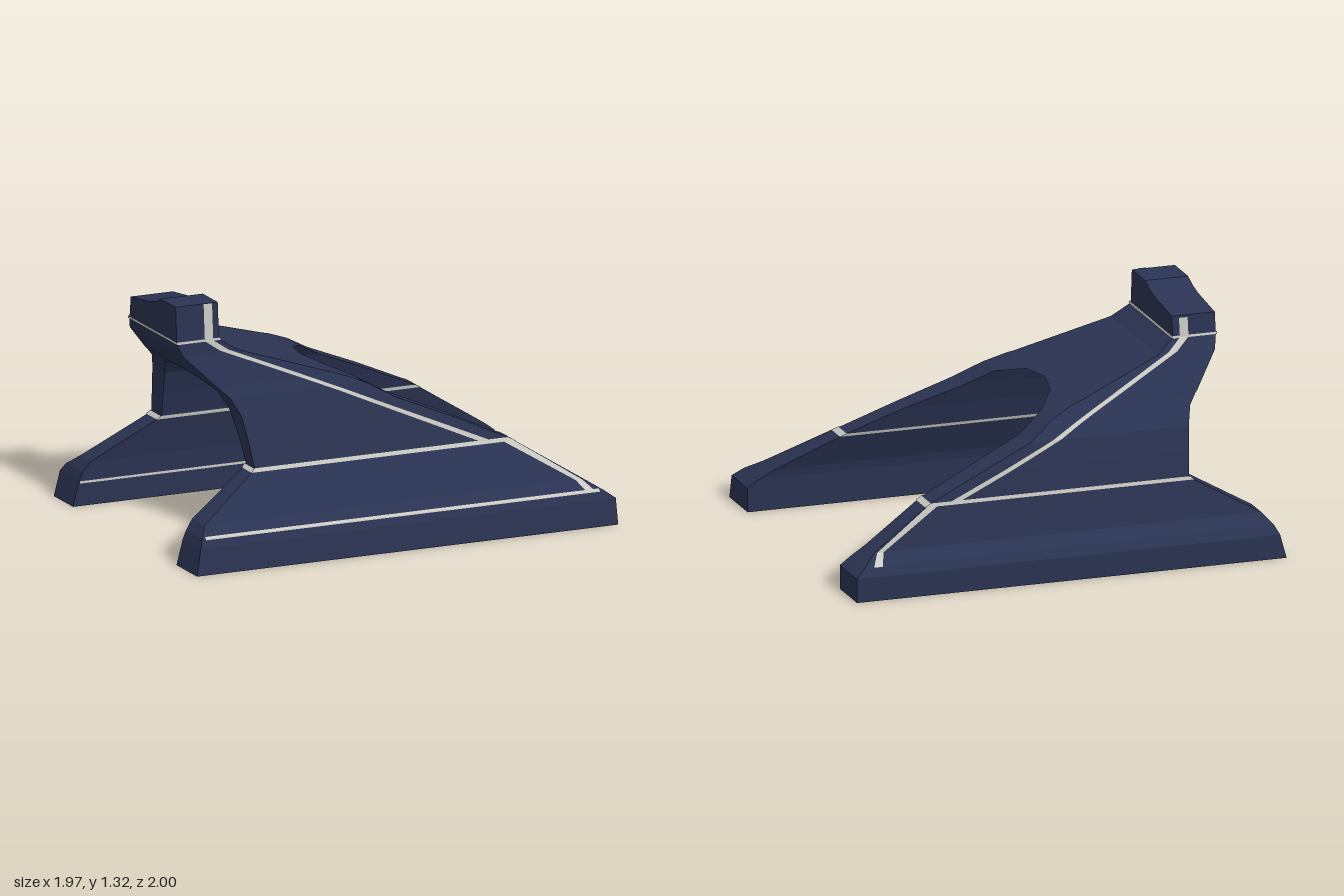
import * as THREE from 'three';

const SHEAR = 0.41; // the whole structure leans sideways as it runs front to back

const navy = new THREE.MeshStandardMaterial({ color: 0x2b3454, flatShading: true, side: THREE.DoubleSide });
const pale = new THREE.MeshStandardMaterial({ color: 0xcfcfc8, flatShading: true, side: THREE.DoubleSide });

// height, right-hand outer x, inner x, left-hand outer x, inner x, front z, back z
const PROFILE = [
  [0, -0.575, -0.42, 0.575, 0.41, 1, -1],
  [0.14, -0.575, -0.42, 0.555, 0.41, 0.97, -1],
  [0.185, -0.55, -0.418, 0.54, 0.41, 0.955, -0.95],
  [0.24, -0.50, -0.415, 0.50, 0.40, 0.92, -0.88],
  [0.46, -0.45, -0.37, 0.38, 0.31, 0.61, -0.6],
  [0.60, -0.43, -0.34, 0.345, 0.27, 0.62, -0.35],
  [0.73, -0.40, -0.30, 0.315, 0.22, 0.635, -0.1],
  [0.82, -0.345, -0.24, 0.285, 0.18, 0.67, 0.03],
  [0.87, -0.315, -0.13, 0.265, 0.09, 0.71, 0.13],
  [0.88, -0.31, -0.02, 0.26, -0.02, 0.72, 0.16],
  [1.05, -0.21, -0.02, 0.215, -0.02, 0.855, 0.59],
  [1.12, -0.17, -0.02, 0.21, -0.02, 0.88, 0.68],
  [1.32, -0.155, -0.02, 0.2, -0.02, 0.88, 0.68],
];

function rowAt(y) {
  let i = 1;
  while (i < PROFILE.length - 1 && PROFILE[i][0] < y) i++;
  const a = PROFILE[i - 1], b = PROFILE[i];
  const t = (y - a[0]) / (b[0] - a[0]);
  return a.map((v, k) => v + (b[k] - v) * t);
}

const place = (x, y, z) => [x - SHEAR * z, y, z];

// four corners at one height; side -1 / 1 is one leg, 0 the joined crown
function ring(side, y, padX = 0, padZ = padX, liftY = y) {
  const [, ro, ri, lo, li, zf, zb] = rowAt(y);
  const x0 = (side > 0 ? li : ro) - padX;
  const x1 = (side < 0 ? ri : lo) + padX;
  return [
    place(x1, liftY, zf + padZ), place(x1, liftY, zb - padZ),
    place(x0, liftY, zb - padZ), place(x0, liftY, zf + padZ),
  ];
}

function meshFrom(positions, material, name) {
  const geo = new THREE.BufferGeometry();
  geo.setAttribute('position', new THREE.Float32BufferAttribute(positions, 3));
  geo.computeVertexNormals();
  const mesh = new THREE.Mesh(geo, material);
  mesh.name = name;
  return mesh;
}

const quad = (out, a, b, c, d) => out.push(...a, ...b, ...c, ...a, ...c, ...d);

function loft(rings, material, name, capStart = false) {
  const out = [];
  for (let r = 0; r < rings.length - 1; r++) {
    for (let i = 0; i < 4; i++) {
      const j = (i + 1) % 4;
      quad(out, rings[r][i], rings[r][j], rings[r + 1][j], rings[r + 1][i]);
    }
  }
  if (capStart) quad(out, ...[...rings[0]].reverse());
  return meshFrom(out, material, name);
}

// strip lying on a leg face, through rows of [height, z of one edge, z of the other]
function ribbon(side, inner, rows, name) {
  const out = [];
  const column = (side < 0 ? 1 : 3) + (inner ? 1 : 0);
  const push = 0.005 * side * (inner ? -1 : 1);
  const edge = ([y, za, zb]) => [za, zb].map((z) => place(rowAt(y)[column] + push, y, z));
  const steps = 10;
  for (let i = 0; i < rows.length - 1; i++) {
    for (let s = 0; s < steps; s++) {
      const at = (t) => edge(rows[i].map((v, k) => v + (rows[i + 1][k] - v) * t));
      const [a, b] = at(s / steps), [d, c] = at((s + 1) / steps);
      quad(out, a, b, c, d);
    }
  }
  return meshFrom(out, pale, name);
}

export function createModel() {
  const model = new THREE.Group();
  model.name = 'archedSupport';
  const heights = PROFILE.map((r) => r[0]);

  for (const side of [-1, 1]) {
    const leg = new THREE.Group();
    leg.name = side < 0 ? 'rightLeg' : 'leftLeg';

    // leg wall, with a channel sunk into the underside of its foot
    const rings = [
      ring(side, 0, -0.04, -0.08, 0.12),
      ring(side, 0, -0.04, -0.08),
      ...heights.filter((y) => y <= 0.88).map((y) => ring(side, y)),
    ];
    leg.add(loft(rings, navy, 'legWall', true));

    // pale band around the leg above the foot
    leg.add(loft([ring(side, 0.447, 0.004), ring(side, 0.466, 0.004)], pale, 'legBand'));

    // pale trim following the sloping rear edge
    leg.add(ribbon(side, false, [
      [side < 0 ? 1.23 : 1.32, 0.75, 0.71], [1.12, 0.75, 0.71], [1.06, 0.68, 0.64],
      [0.8, 0.165, 0.13], [0.46, -0.46, -0.51],
    ], 'rearEdgeTrim'));
    leg.add(ribbon(side, false, [
      [0.46, -0.55, -0.6], [0.24, -0.84, -0.87], [0.185, -0.87, -0.91],
    ], 'footRearTrim'));
    model.add(leg);
  }

  // horizontal trim lines on the feet
  model.add(ribbon(1, false, [[0.18, 0.94, -0.93], [0.195, 0.94, -0.93]], 'outerFootTrim'));
  model.add(ribbon(-1, true, [[0.125, 0.97, -0.99], [0.138, 0.97, -0.99]], 'innerFootTrim'));

  // crown joining both legs above the arch
  model.add(loft([0.88, 1.05, 1.12].map((y) => ring(0, y)), navy, 'crown'));
  model.add(loft([ring(0, 1.117, 0.004), ring(0, 1.13, 0.004)], pale, 'crownBand'));

  // stepped head block
  const outline = [[-0.17, 1.12], [0.21, 1.12], [0.2, 1.32], [0.08, 1.32], [0.04, 1.29], [-0.01, 1.27], [-0.16, 1.24]];
  const headGeo = new THREE.ExtrudeGeometry(
    new THREE.Shape(outline.map(([x, y]) => new THREE.Vector2(x, y))),
    { depth: 0.2, bevelEnabled: false },
  );
  headGeo.translate(0, 0, 0.68);
  headGeo.applyMatrix4(new THREE.Matrix4().set(1, 0, -SHEAR, 0, 0, 1, 0, 0, 0, 0, 1, 0, 0, 0, 0, 1));
  headGeo.computeVertexNormals();
  const head = new THREE.Mesh(headGeo, navy);
  head.name = 'headBlock';
  model.add(head);

  return model;
}
